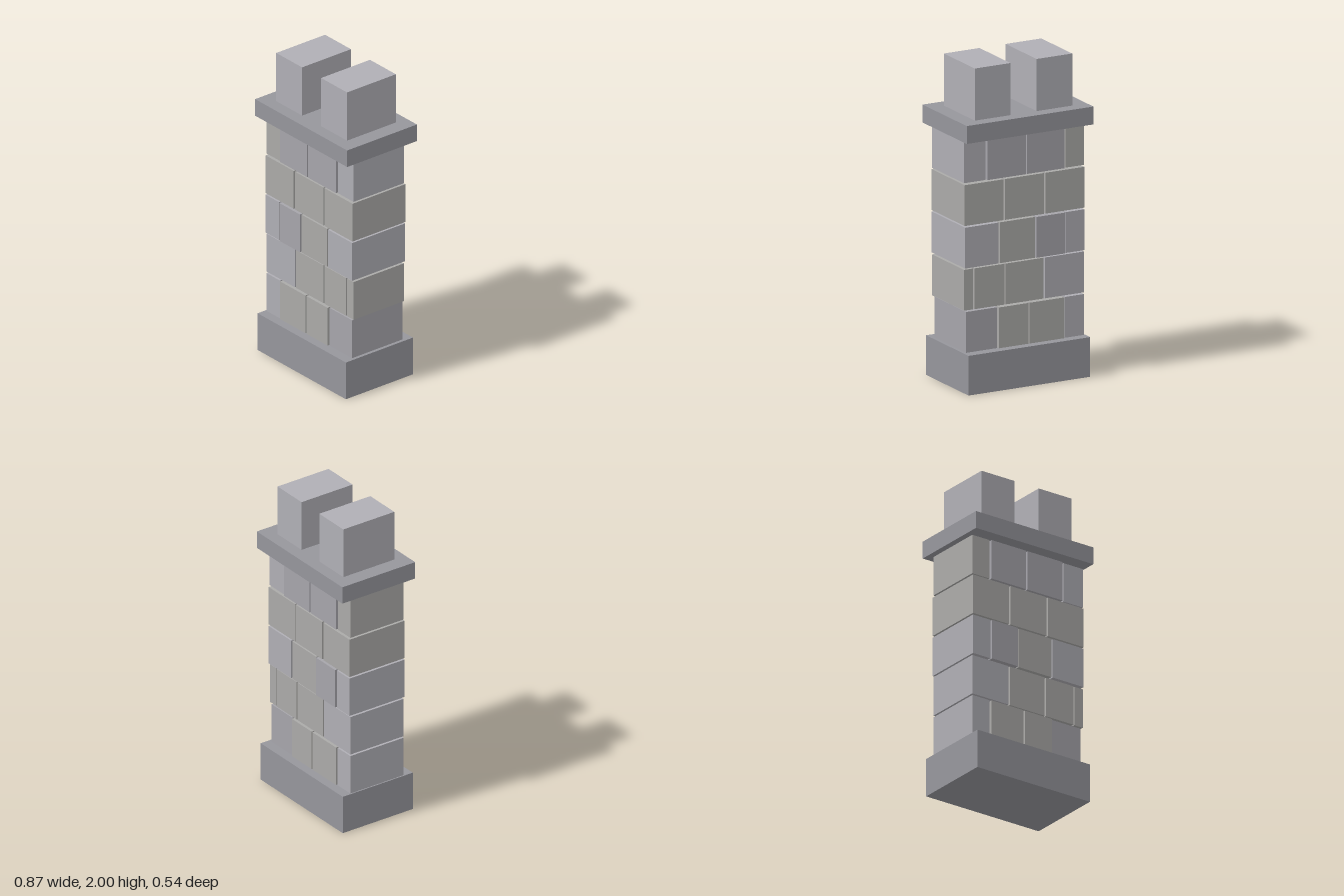
import * as THREE from 'three';

const mat = (color) => new THREE.MeshStandardMaterial({ color, flatShading: true });

export function createModel() {
  const model = new THREE.Group();
  model.name = 'chimney';

  const slate = mat(0x96969c);
  const pale = mat(0xb0afb5);
  const stone = {
    c: mat(0xafaeb4), // cool
    d: mat(0xa6a5ab), // darker cool
    w: mat(0xabaaa8), // warm
  };

  // Box given by its extents on each axis
  function block(name, material, [x0, x1], [y0, y1], [z0, z1], parent = model) {
    const mesh = new THREE.Mesh(new THREE.BoxGeometry(x1 - x0, y1 - y0, z1 - z0), material);
    mesh.position.set((x0 + x1) / 2, (y0 + y1) / 2, (z0 + z1) / 2);
    mesh.name = name;
    parent.add(mesh);
  }

  // Plinth, cap slab and the two flues
  block('base', slate, [-0.42, 0.412], [0, 0.246], [-0.256, 0.26]);
  block('cap', slate, [-0.435, 0.432], [1.566, 1.677], [-0.27, 0.267]);
  block('rightFlue', pale, [-0.335, -0.091], [1.677, 2], [-0.19, 0.186]);
  block('leftFlue', pale, [0.088, 0.332], [1.677, 2], [-0.19, 0.186]);

  // Stone courses, bottom to top; each stone runs the full depth:
  // [x start, x end, half depth, tone]
  const courses = [
    [[-0.412, -0.284, 0.197, 'c'], [-0.275, -0.037, 0.203, 'w'], [-0.029, 0.171, 0.203, 'w'], [0.18, 0.391, 0.193, 'd']],
    [[-0.412, -0.145, 0.196, 'c'], [-0.135, 0.123, 0.196, 'w'], [0.132, 0.336, 0.196, 'w'], [0.344, 0.407, 0.194, 'w']],
    [[-0.412, -0.284, 0.203, 'c'], [-0.275, -0.082, 0.209, 'd'], [-0.074, 0.167, 0.203, 'w'], [0.177, 0.405, 0.204, 'c']],
    [[-0.412, -0.147, 0.203, 'w'], [-0.135, 0.133, 0.203, 'w'], [0.141, 0.407, 0.203, 'w']],
    [[-0.412, -0.285, 0.196, 'w'], [-0.275, -0.019, 0.204, 'd'], [-0.01, 0.251, 0.204, 'd'], [0.262, 0.407, 0.195, 'c']],
  ];
  courses.forEach((row, i) => {
    const course = new THREE.Group();
    course.name = `course${i + 1}`;
    const y = 0.246 + i * 0.2635;
    for (const [x0, x1, d, tone] of row) {
      block('stone', stone[tone], [x0, x1], [y, y + 0.253], [0.002 - d, 0.002 + d], course);
    }
    model.add(course);
  });

  return model;
}
